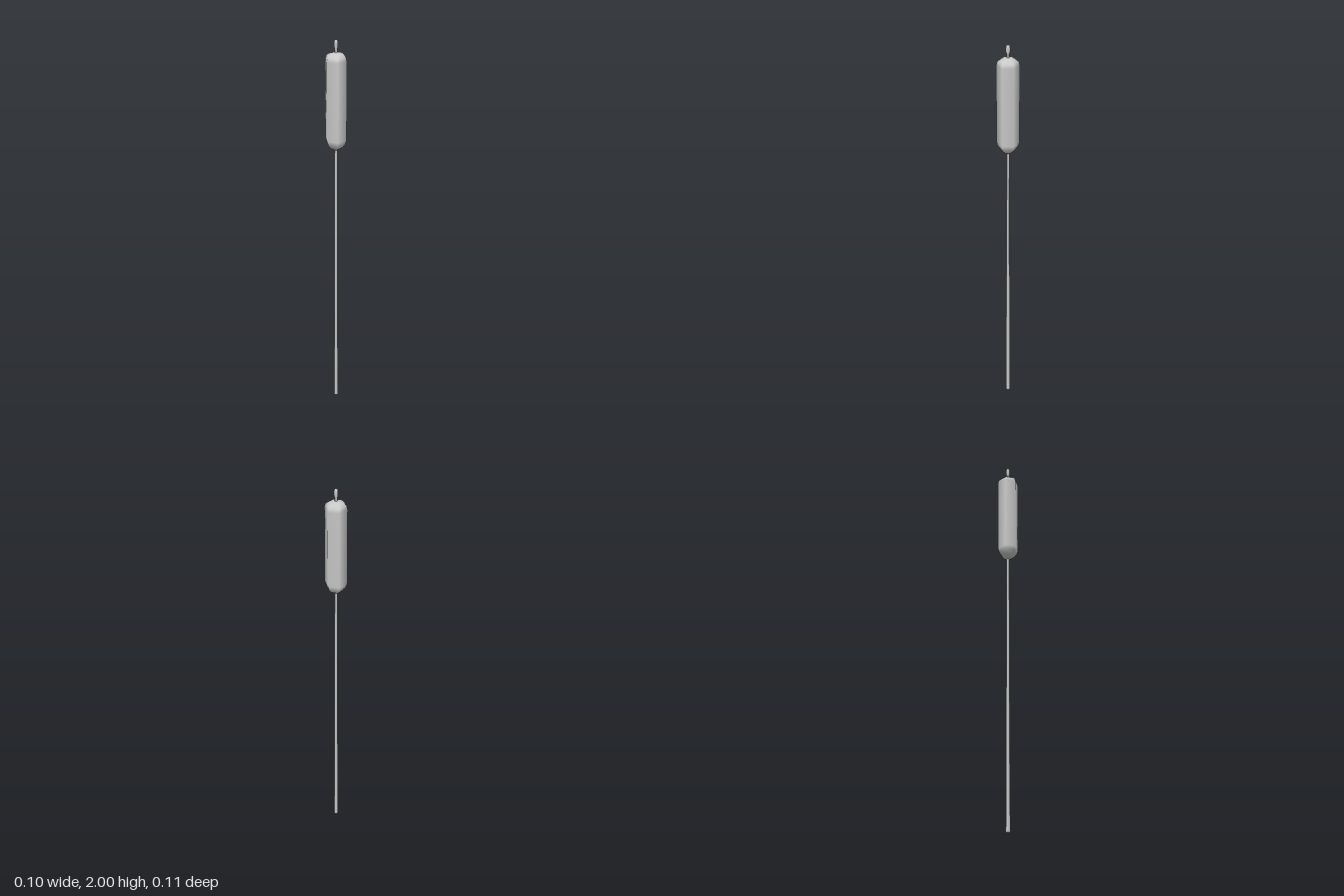
import * as THREE from 'three';

const SIDES = 6;

// Turns a list of [radius, height] pairs, listed bottom to top, into a smooth six-sided part.
function turned(name, profile, material) {
  const points = profile.map(([r, y]) => new THREE.Vector2(r, y));
  const mesh = new THREE.Mesh(new THREE.LatheGeometry(points, SIDES), material);
  mesh.name = name;
  return mesh;
}

export function createModel() {
  const group = new THREE.Group();
  group.name = 'cattail';
  const material = new THREE.MeshStandardMaterial({ color: 0xcccccc });

  // Long stalk, tapering upward, closed at the foot
  const stalk = new THREE.Mesh(new THREE.CylinderGeometry(0.007, 0.011, 1.46, SIDES), material);
  stalk.name = 'stalk';
  stalk.position.y = 0.73;
  group.add(stalk);

  // Fat seed head with rounded ends
  group.add(turned('seedHead', [
    [0, 1.445], [0.012, 1.446], [0.034, 1.462], [0.048, 1.482], [0.055, 1.503],
    [0.055, 1.9], [0.05, 1.918], [0.036, 1.929], [0.008, 1.937], [0, 1.937],
  ], material));

  // Small spike on top, slightly thicker towards its end
  group.add(turned('tipSpike', [
    [0.006, 1.93], [0.007, 1.955], [0.0105, 1.965], [0.0105, 1.985], [0.008, 1.996], [0, 2],
  ], material));

  return group;
}
